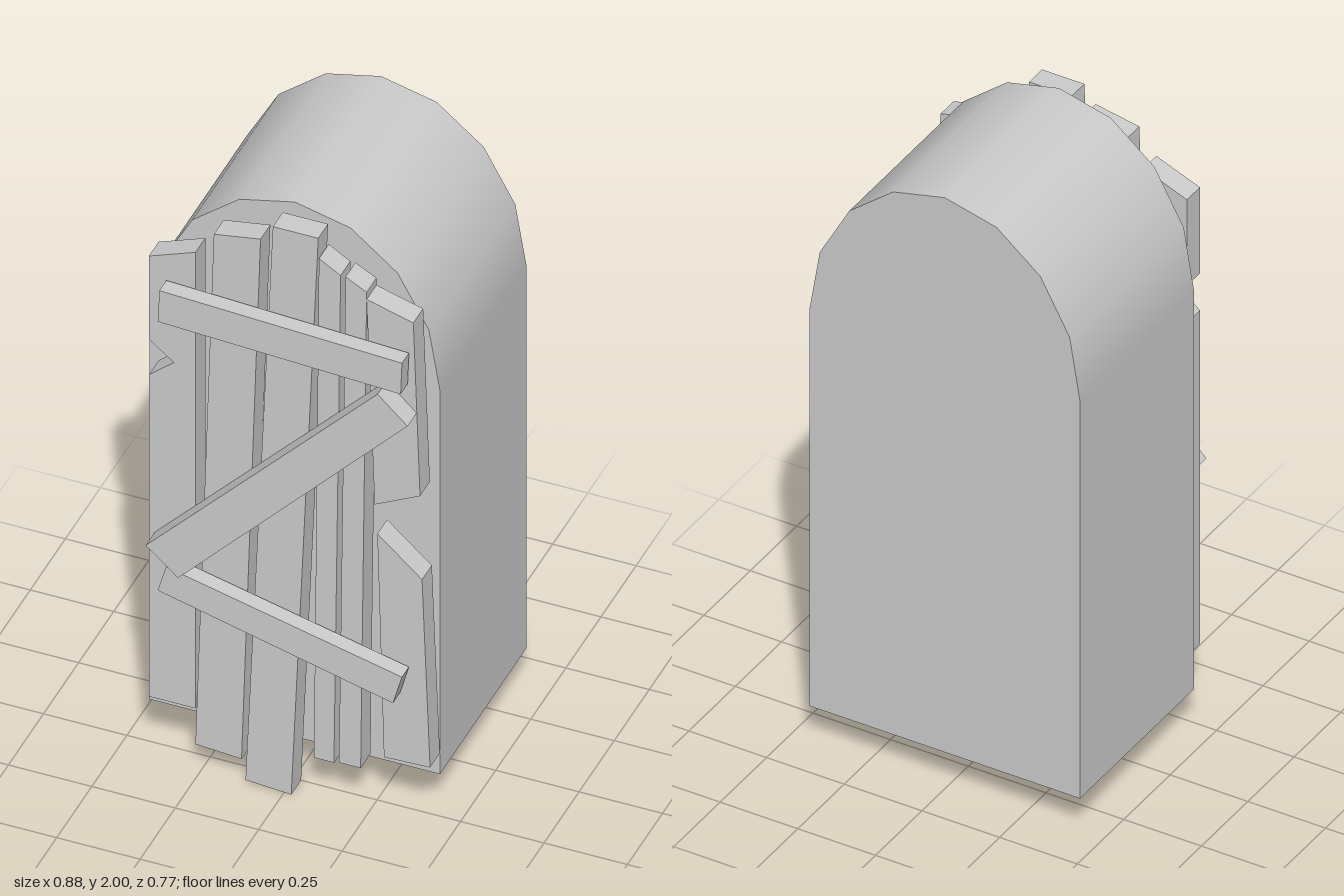
import * as THREE from 'three';

const shellMat = new THREE.MeshStandardMaterial({ color: 0xcccccc, side: THREE.DoubleSide });
const woodMat = new THREE.MeshStandardMaterial({ color: 0xcccccc, flatShading: true });

// Doorway shell: half-ellipse arch on straight walls
const CX = -0.005, RX = 0.435, RY = 0.53, BOTTOM = 0.13, SPRING = 1.47;
const BACK = -0.385, FRONT = 0.23, DEPTH = FRONT - BACK, SEGMENTS = 8;

function named(geometry, material, name) {
  const mesh = new THREE.Mesh(geometry, material);
  mesh.name = name;
  return mesh;
}

// A board cut from an outline in the front plane, between two depths
function board(name, outline, z0, z1) {
  const shape = new THREE.Shape(outline.map(([x, y]) => new THREE.Vector2(x, y)));
  const geometry = new THREE.ExtrudeGeometry(shape, { depth: z1 - z0, bevelEnabled: false });
  geometry.translate(0, 0, z0);
  return named(geometry, woodMat, name);
}

function createShell() {
  const shell = new THREE.Group();
  shell.name = 'archedShell';

  // Front and back faces
  const points = [new THREE.Vector2(CX - RX, BOTTOM), new THREE.Vector2(CX + RX, BOTTOM)];
  for (let i = 0; i <= SEGMENTS; i++) {
    const a = (i / SEGMENTS) * Math.PI;
    points.push(new THREE.Vector2(CX + RX * Math.cos(a), SPRING + RY * Math.sin(a)));
  }
  const face = new THREE.ShapeGeometry(new THREE.Shape(points));
  const frontFace = named(face, shellMat, 'frontFace');
  frontFace.position.z = FRONT;
  const backFace = named(face.clone().rotateY(Math.PI).translate(2 * CX, 0, 0), shellMat, 'backFace');
  backFace.position.z = BACK;
  shell.add(frontFace, backFace);

  // Smooth vault
  const vault = new THREE.CylinderGeometry(1, 1, DEPTH, SEGMENTS, 1, true, -Math.PI / 2, Math.PI);
  vault.rotateX(-Math.PI / 2).scale(RX, RY, 1).translate(CX, SPRING, (FRONT + BACK) / 2);
  shell.add(named(vault, shellMat, 'vault'));

  // Straight side walls; the underside stays open
  for (const side of [-1, 1]) {
    const wall = new THREE.PlaneGeometry(DEPTH, SPRING - BOTTOM);
    wall.rotateY((side * Math.PI) / 2);
    wall.translate(CX + side * RX, (SPRING + BOTTOM) / 2, (FRONT + BACK) / 2);
    shell.add(named(wall, shellMat, side > 0 ? 'leftWall' : 'rightWall'));
  }
  return shell;
}

export function createModel() {
  const model = new THREE.Group();
  model.name = 'boardedDoorway';
  model.add(createShell());

  // Upright planks, listed from the model's right to its left
  const planks = {
    notchedPlank: [[-0.405, 0.215], [-0.265, 0.215], [-0.265, 1.81], [-0.405, 1.755],
      [-0.405, 1.465], [-0.33, 1.405], [-0.405, 1.34]],
    widePlank: [[-0.265, 0.09], [-0.127, 0.08], [-0.07, 1.915], [-0.21, 1.89]],
    longPlank: [[-0.115, 0.01], [0.022, 0], [0.103, 1.97], [-0.033, 1.97]],
    narrowPlankInner: [[0.09, 0.15], [0.15, 0.15], [0.17, 1.86], [0.105, 1.9]],
    narrowPlankOuter: [[0.165, 0.155], [0.23, 0.155], [0.248, 1.825], [0.185, 1.86]],
    brokenPlankUpper: [[0.272, 1.09], [0.408, 1.16], [0.388, 1.76], [0.248, 1.8]],
    brokenPlankLower: [[0.3, 0.215], [0.438, 0.22], [0.414, 0.87], [0.28, 0.99]],
  };
  const uprights = new THREE.Group();
  uprights.name = 'uprightPlanks';
  for (const [name, outline] of Object.entries(planks)) uprights.add(board(name, outline, 0.25, 0.32));
  model.add(uprights);

  // Boards nailed across the planks
  const braces = new THREE.Group();
  braces.name = 'crossBoards';
  braces.add(
    board('upperBrace', [[-0.355, 1.58], [0.373, 1.545], [0.377, 1.655], [-0.35, 1.69]], 0.325, 0.375),
    board('diagonalBrace', [[-0.29, 0.71], [0.398, 1.448], [0.308, 1.533], [-0.387, 0.795]], 0.32, 0.385),
    board('lowerBrace', [[-0.355, 0.64], [0.35, 0.458], [0.377, 0.557], [-0.33, 0.73]], 0.325, 0.375),
  );
  model.add(braces);
  return model;
}
